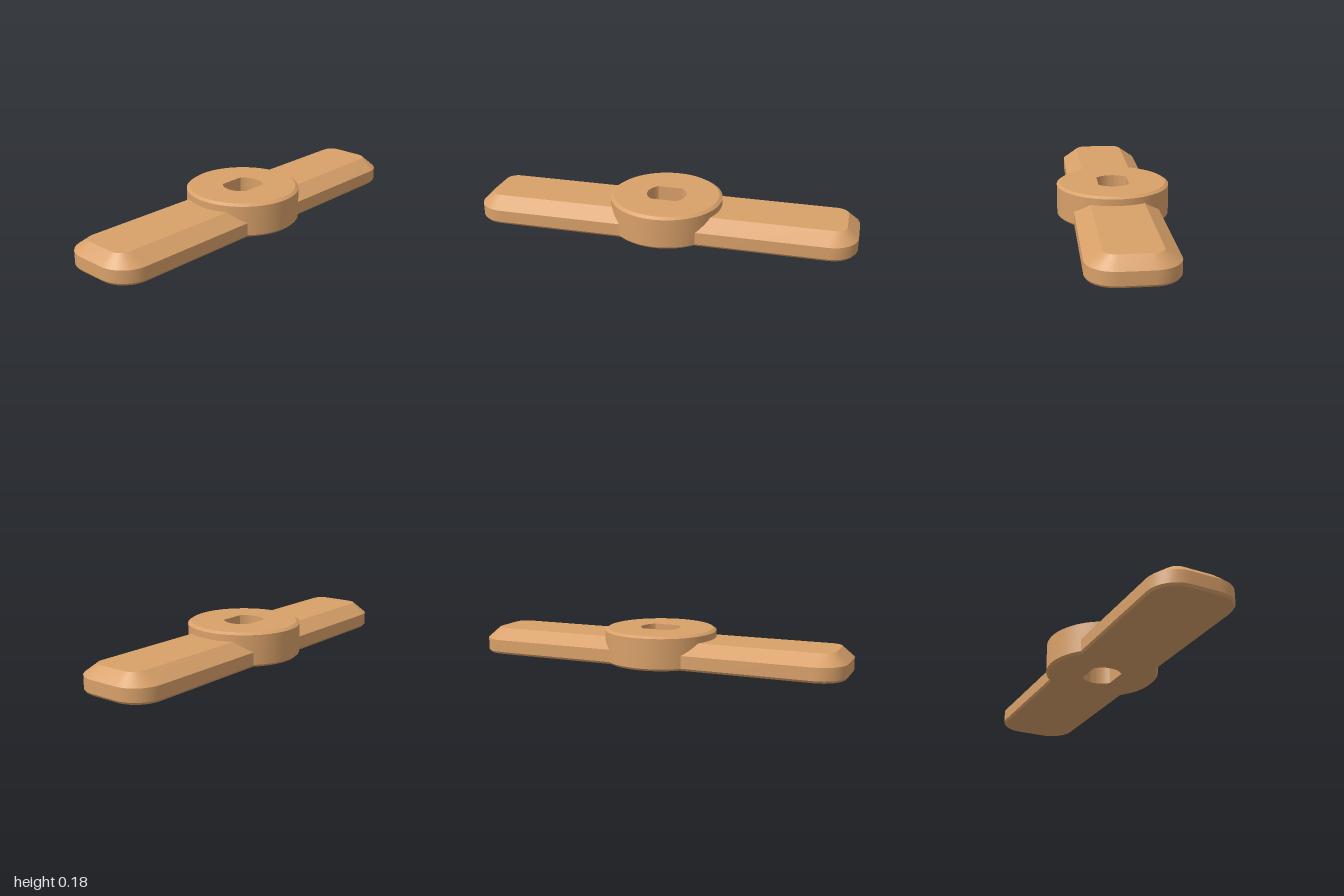
import * as THREE from 'three';
import { toCreasedNormals } from 'three/addons/utils/BufferGeometryUtils.js';

// Skin a stack of closed rings (equal point counts) with quads
function loft(rings) {
  const pos = [];
  for (let i = 0; i < rings.length - 1; i++) {
    const lo = rings[i], hi = rings[i + 1], n = lo.length;
    for (let j = 0; j < n; j++) {
      const k = (j + 1) % n;
      pos.push(...lo[j], ...hi[j], ...lo[k], ...lo[k], ...hi[j], ...hi[k]);
    }
  }
  const geo = new THREE.BufferGeometry();
  geo.setAttribute('position', new THREE.Float32BufferAttribute(pos, 3));
  return toCreasedNormals(geo, 0.5);
}

// Circle in plan, optionally cut by two flats at z = +-flat
function circleRing(r, y, flat = r) {
  const n = 72;
  return Array.from({ length: n }, (_, i) => {
    const a = (i / n) * Math.PI * 2;
    return [r * Math.cos(a), y, THREE.MathUtils.clamp(r * Math.sin(a), -flat, flat)];
  });
}

// Arm outline in plan: square inner end, rounded outer corners
function armRing(length, halfWidth, radius, y) {
  const inner = 0.15, steps = 8;
  const ring = [[inner, y, -halfWidth]];
  for (const side of [-1, 1]) {
    for (let i = 0; i <= steps; i++) {
      const a = ((side < 0 ? -1 : 0) + i / steps) * Math.PI / 2;
      ring.push([
        length - radius + radius * Math.cos(a), y,
        side * (halfWidth - radius) + radius * Math.sin(a),
      ]);
    }
  }
  ring.push([inner, y, halfWidth]);
  return ring;
}

export function createModel() {
  const model = new THREE.Group();
  const tan = new THREE.MeshStandardMaterial({ color: 0xd8a069 });
  tan.name = 'tan';

  // Chamfered round hub with a double-flatted through hole
  const height = 0.176, holeR = 0.104, flat = holeR * Math.sin(Math.PI * 50 / 180);
  const hub = new THREE.Mesh(loft([
    circleRing(holeR, 0, flat),
    circleRing(0.281, 0),
    circleRing(0.293, 0.012),
    circleRing(0.293, 0.165),
    circleRing(0.276, height),
    circleRing(holeR, height, flat),
    circleRing(holeR, 0, flat),
  ]), tan);
  hub.name = 'hub';
  model.add(hub);

  // Two arms with a broad top bevel and a small bottom chamfer
  const bottom = armRing(0.99, 0.207, 0.13, 0);
  const top = armRing(0.94, 0.135, 0.06, 0.131);
  const centre = (y) => bottom.map(() => [0.55, y, 0]);
  const armGeo = loft([
    centre(0),
    bottom,
    armRing(1, 0.216, 0.14, 0.012),
    armRing(1, 0.216, 0.14, 0.077),
    top,
    centre(0.131),
  ]);
  for (const [name, turn] of [['leftArm', 0], ['rightArm', Math.PI]]) {
    const arm = new THREE.Mesh(armGeo, tan);
    arm.name = name;
    arm.rotation.y = turn;
    model.add(arm);
  }
  return model;
}
